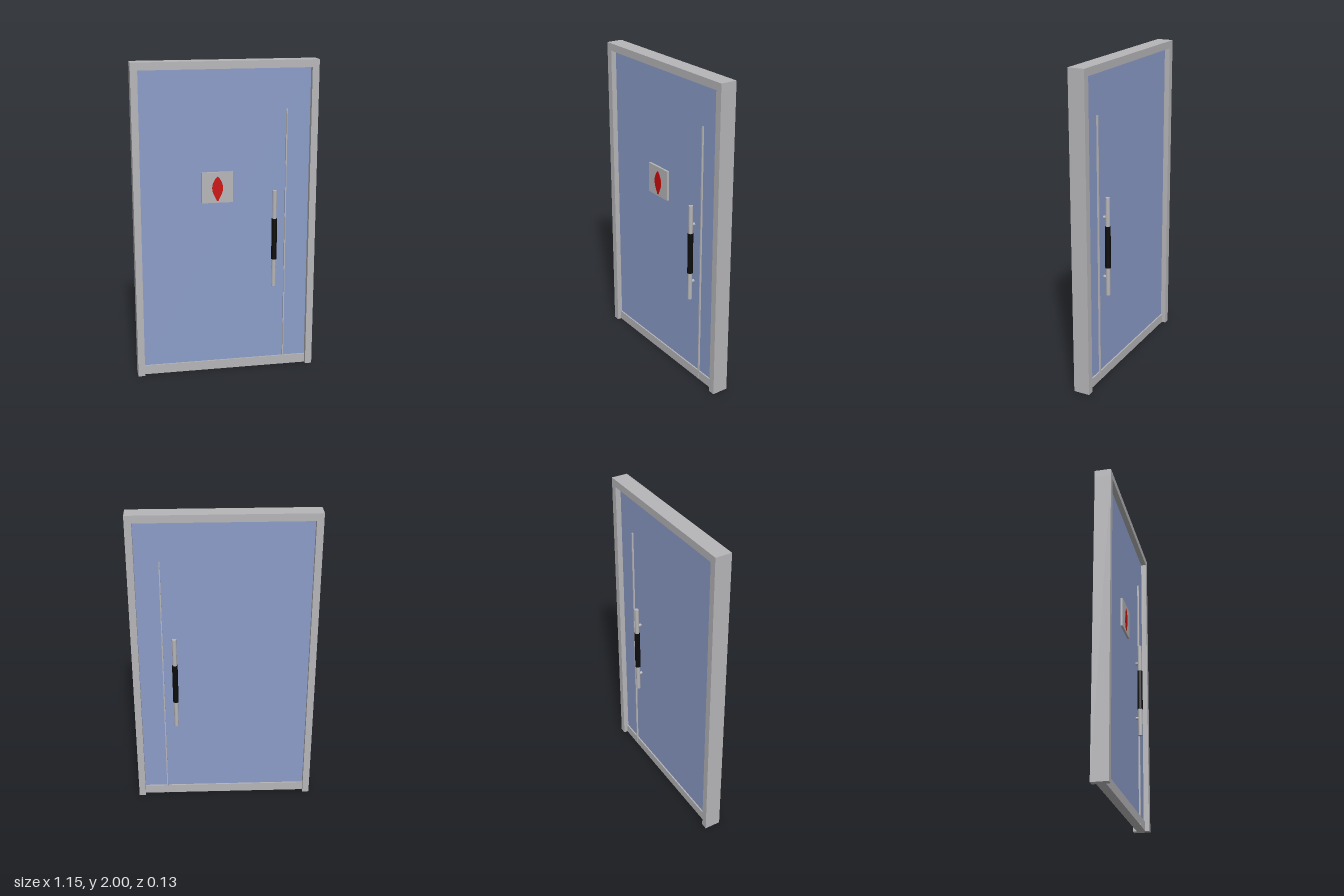
import * as THREE from 'three';

const material = (name, color) => {
  const m = new THREE.MeshStandardMaterial({ color });
  m.name = name;
  return m;
};

export function createModel() {
  const grey = material('brushed metal grey', 0xb6b5b8);
  const blue = material('panel blue', 0x8b9cc8);
  const black = material('grip black', 0x0c0c0c);
  const red = material('emblem red', 0xcc0c0c);

  const door = new THREE.Group();
  door.name = 'door';

  const add = (parent, name, geometry, mat, x, y, z) => {
    const mesh = new THREE.Mesh(geometry, mat);
    mesh.name = name;
    mesh.position.set(x, y, z);
    parent.add(mesh);
    return mesh;
  };
  // Box given by its limits
  const box = (name, mat, x0, x1, y0, y1, z0, z1) =>
    add(door, name, new THREE.BoxGeometry(x1 - x0, y1 - y0, z1 - z0), mat,
      (x0 + x1) / 2, (y0 + y1) / 2, (z0 + z1) / 2);

  // Surrounding frame
  box('leftJamb', grey, 0.532, 0.575, 0, 1.953, -0.052, 0.052);
  box('rightJamb', grey, -0.575, -0.532, 0, 1.953, -0.052, 0.052);
  box('header', grey, -0.575, 0.575, 1.953, 2, -0.052, 0.052);

  // Door leaf: panel, bottom rail and vertical seam
  box('panel', blue, -0.532, 0.532, 0.06, 1.953, -0.018, 0.018);
  box('bottomRail', grey, -0.532, 0.532, 0, 0.06, -0.027, 0.027);
  box('seamStrip', grey, 0.38, 0.387, 0, 1.7, -0.029, 0.029);

  // Sign plate with a pointed oval emblem
  box('signPlate', grey, -0.15, 0.046, 1.126, 1.32, 0.018, 0.032);
  const oval = new THREE.Shape();
  oval.moveTo(0, 0.078);
  oval.bezierCurveTo(0.02, 0.06, 0.034, 0.03, 0.034, 0.005);
  oval.bezierCurveTo(0.034, -0.03, 0.015, -0.05, 0.005, -0.078);
  oval.lineTo(-0.005, -0.078);
  oval.bezierCurveTo(-0.015, -0.05, -0.034, -0.03, -0.034, 0.005);
  oval.bezierCurveTo(-0.034, 0.03, -0.02, 0.06, 0, 0.078);
  add(door, 'emblem',
    new THREE.ExtrudeGeometry(oval, { depth: 0.003, bevelEnabled: false, curveSegments: 8 }),
    red, -0.052, 1.216, 0.0315);

  // A pull handle on each face
  for (const side of [1, -1]) {
    const handle = new THREE.Group();
    handle.name = side > 0 ? 'frontHandle' : 'backHandle';
    handle.position.set(0.309, 0, side * 0.046);
    add(handle, 'pole', new THREE.CylinderGeometry(0.014, 0.014, 0.63, 12), grey, 0, 0.877, 0);
    add(handle, 'grip', new THREE.CylinderGeometry(0.0175, 0.0175, 0.268, 16), black, 0, 0.877, 0);
    for (const y of [1.066, 0.68]) {
      const post = add(handle, 'standoff', new THREE.CylinderGeometry(0.01, 0.01, 0.034, 10), grey,
        0, y, -side * 0.015);
      post.rotation.x = Math.PI / 2;
    }
    door.add(handle);
  }
  return door;
}
